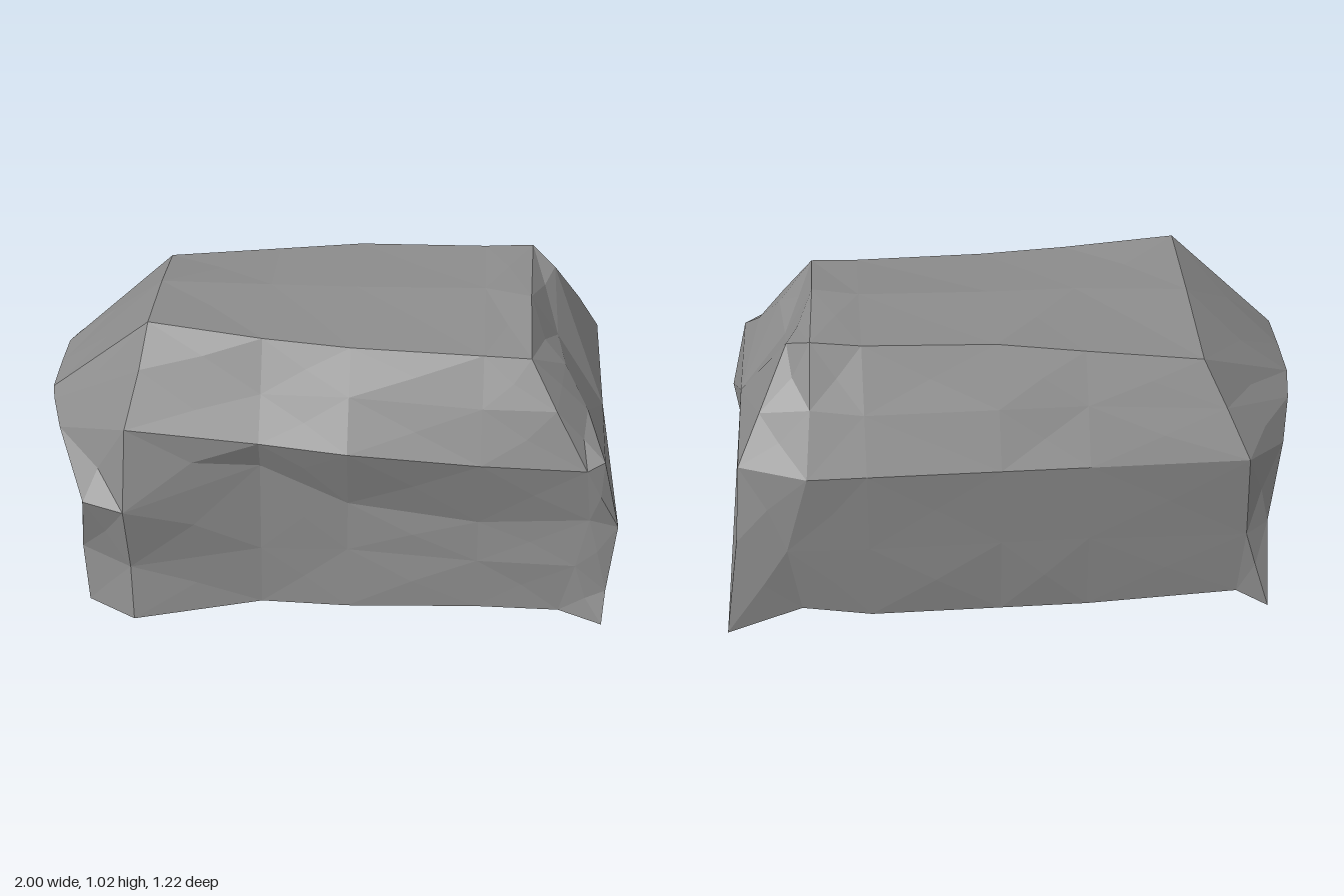
import * as THREE from 'three';

const greyWrap = new THREE.MeshStandardMaterial({ color: 0x8c8c8c, flatShading: true });
greyWrap.name = 'greyWrap';

// small seeded noise, -1..1
let seed = 7;
const noise = () => {
  seed = (seed * 16807) % 2147483647;
  return (seed / 2147483647) * 2 - 1;
};
const V = (p) => new THREE.Vector3(...p);

// Each ring runs: front foot, lower front, groove, crease, shoulder, top front, top middle,
// top back, back shoulder, back crease, lower back, back foot, underside, underside front.
const backSide = [[0.8, -0.51], [0.62, -0.61], [0.32, -0.595], [0.03, -0.575], [0.03, 0], [0.03, 0.25]];
const midRing = (x, front) => [...front, ...backSide].map(([y, z]) => V([x, y, z]));

const rightTip = [
  [-0.86, 0.02, 0.51], [-0.88, 0.22, 0.47], [-0.85, 0.47, 0.57], [-0.96, 0.62, 0.33], [-0.99, 0.68, 0.24],
  [-1, 0.7, 0.19], [-1, 0.7, 0.02], [-1, 0.69, -0.15], [-0.98, 0.66, -0.28], [-0.94, 0.57, -0.43],
  [-0.88, 0.32, -0.54], [-0.89, 0, -0.6], [-0.88, 0.04, 0], [-0.87, 0.04, 0.3],
].map(V);
const rightRim = [
  [-0.69, 0.01, 0.605], [-0.7, 0.2, 0.56], [-0.71, 0.45, 0.6], [-0.7, 0.74, 0.53], [-0.66, 0.9, 0.4],
  [-0.64, 1.02, 0.28], [-0.64, 0.99, -0.07], [-0.65, 0.91, -0.42], [-0.72, 0.77, -0.515], [-0.79, 0.62, -0.61],
  [-0.8, 0.3, -0.585], [-0.78, 0.05, -0.57], [-0.8, 0.03, 0], [-0.75, 0.03, 0.3],
].map(V);
const leftRim = [
  [0.79, 0.03, 0.49], [0.84, 0.22, 0.49], [0.88, 0.4, 0.47], [0.86, 0.61, 0.49], [0.75, 0.8, 0.42],
  [0.66, 0.95, 0.33], [0.66, 1.01, 0], [0.67, 1.015, -0.38], [0.68, 0.82, -0.495], [0.7, 0.62, -0.61],
  [0.78, 0.32, -0.585], [0.74, 0.06, -0.56], [0.82, 0.04, 0.03], [0.82, 0.04, 0.25],
].map(V);
const leftTip = [
  [0.94, 0.01, 0.54], [0.95, 0.12, 0.49], [0.98, 0.37, 0.46], [0.92, 0.63, 0.46], [0.86, 0.74, 0.3],
  [0.78, 0.86, 0.2], [0.76, 0.85, -0.02], [0.75, 0.97, -0.3], [0.85, 0.78, -0.43], [0.93, 0.62, -0.51],
  [0.95, 0.35, -0.56], [1, 0, -0.6], [0.93, 0.19, 0.07], [0.96, 0.09, 0.23],
].map(V);

const bodyRings = [
  rightRim,
  midRing(-0.25, [[0.03, 0.5], [0.25, 0.49], [0.58, 0.47], [0.69, 0.51], [0.82, 0.4], [0.98, 0.3], [1, -0.05], [0.955, -0.41]]),
  midRing(0.05, [[0.03, 0.51], [0.25, 0.48], [0.43, 0.46], [0.67, 0.53], [0.83, 0.42], [0.96, 0.31], [1, -0.05], [0.99, -0.4]]),
  midRing(0.5, [[0.04, 0.5], [0.22, 0.48], [0.37, 0.46], [0.63, 0.51], [0.8, 0.42], [0.95, 0.32], [1.01, -0.05], [1, -0.39]]),
  leftRim,
];

function addTri(out, a, b, c) {
  for (const p of [a, b, c]) out.push(p.x, p.y, p.z);
}

// skin between rings; every panel is creased around a shifted middle point
function loft(out, rings, crumple) {
  for (let i = 0; i < rings.length - 1; i++) {
    const n = rings[i].length;
    for (let j = 0; j < n; j++) {
      const k = (j + 1) % n;
      const quad = [rings[i][j], rings[i + 1][j], rings[i + 1][k], rings[i][k]];
      const normal = quad[2].clone().sub(quad[0]).cross(quad[3].clone().sub(quad[1])).normalize();
      const mid = new THREE.Vector3();
      quad.forEach((p) => mid.addScaledVector(p, 0.25));
      const amount = j >= 11 ? 0 : crumple; // underside stays flat
      mid.addScaledVector(normal, noise() * amount);
      quad.forEach((p, q) => addTri(out, p, quad[(q + 1) % 4], mid));
    }
  }
}

// closes an end with a fan around a middle point
function cap(out, ring, middle, facing) {
  ring.forEach((p, j) => {
    const q = ring[(j + 1) % ring.length];
    if (facing > 0) addTri(out, middle, q, p);
    else addTri(out, middle, p, q);
  });
}

function wrapMesh(name, positions) {
  const geometry = new THREE.BufferGeometry();
  geometry.setAttribute('position', new THREE.Float32BufferAttribute(positions, 3));
  geometry.computeVertexNormals();
  const mesh = new THREE.Mesh(geometry, greyWrap);
  mesh.name = name;
  return mesh;
}

export function createModel() {
  seed = 7;
  const group = new THREE.Group();
  group.name = 'wrappedBundle';

  // long wrapped body
  const body = [];
  loft(body, bodyRings, 0.008);
  group.add(wrapMesh('wrappedBody', body));

  // gathered end on the right, sloping down to a bulge at mid height
  const right = [];
  loft(right, [rightTip, rightRim], 0.015);
  cap(right, rightTip, V([-0.95, 0.42, 0.03]), -1);
  group.add(wrapMesh('rightEnd', right));

  // steeper end on the left, tucked up underneath
  const left = [];
  loft(left, [leftRim, leftTip], 0.015);
  cap(left, leftTip, V([0.93, 0.6, 0.03]), 1);
  group.add(wrapMesh('leftEnd', left));

  return group;
}
